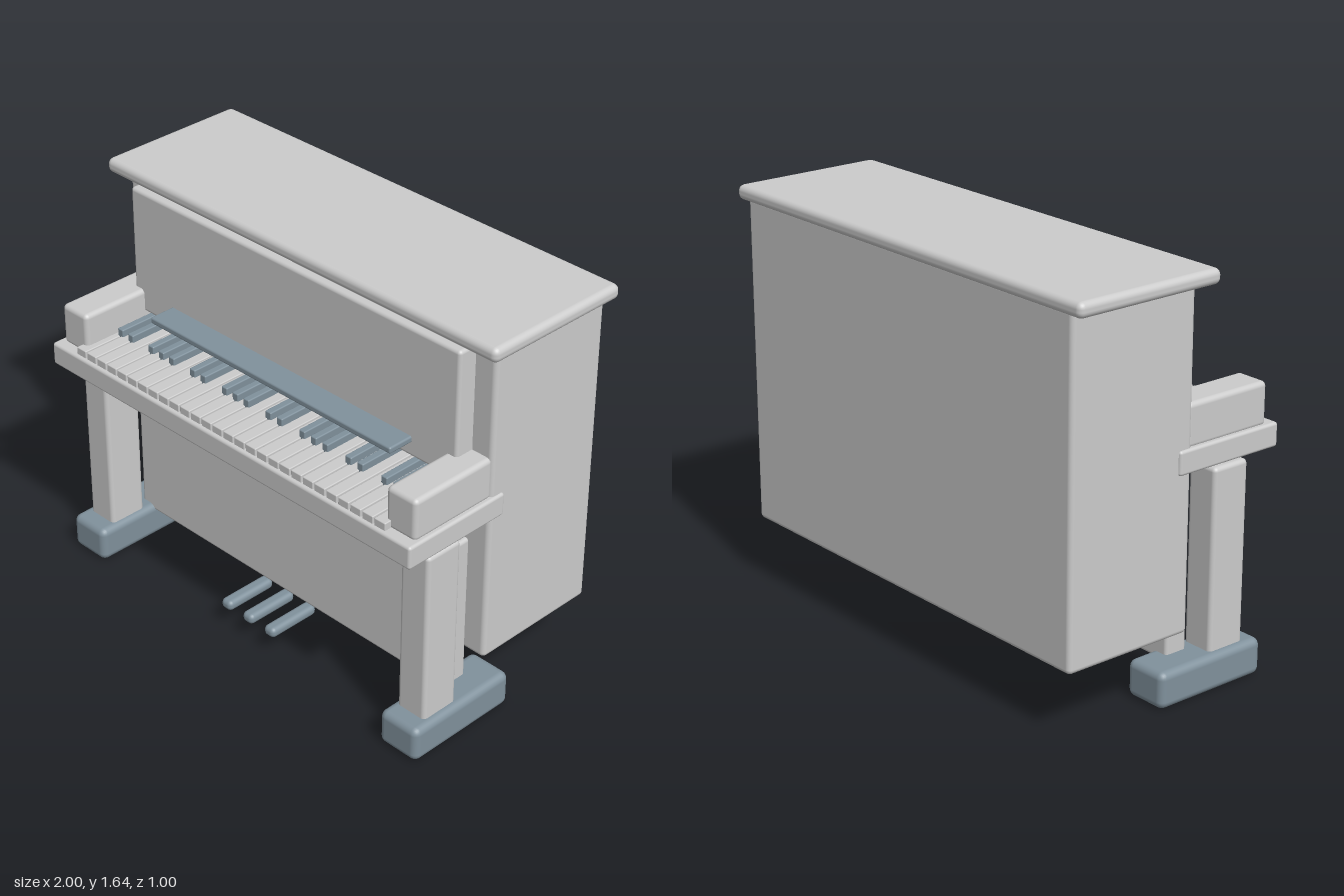
import * as THREE from 'three';
import { RoundedBoxGeometry } from 'three/addons/geometries/RoundedBoxGeometry.js';

const grey = new THREE.MeshStandardMaterial({ color: 0xcccccc });
const slate = new THREE.MeshStandardMaterial({ color: 0x80919c });

// Rounded block given by its [min, max] extent on each axis
function block(name, [x0, x1], [y0, y1], [z0, z1], radius, material = grey) {
  const geometry = new RoundedBoxGeometry(x1 - x0, y1 - y0, z1 - z0, 3, radius);
  const mesh = new THREE.Mesh(geometry, material);
  mesh.position.set((x0 + x1) / 2, (y0 + y1) / 2, (z0 + z1) / 2);
  mesh.name = name;
  return mesh;
}

// 28 white keys, with black keys in groups of two and three
function createKeyboard() {
  const keyboard = new THREE.Group();
  keyboard.name = 'keyboard';
  const count = 28, pitch = 0.059, start = -count * pitch / 2;
  for (let i = 0; i < count; i++) {
    const x = start + i * pitch;
    keyboard.add(block('whiteKey', [x + 0.0035, x + pitch - 0.0035], [0.975, 1.015], [0.07, 0.485], 0.004));
    if (i > 0 && i % 7 !== 0 && i % 7 !== 3) {
      keyboard.add(block('blackKey', [x - 0.015, x + 0.015], [1.0, 1.045], [0.1, 0.313], 0.005, slate));
    }
  }
  return keyboard;
}

export function createModel() {
  const piano = new THREE.Group();
  piano.name = 'uprightPiano';

  // Body
  piano.add(
    block('case', [-0.945, 0.945], [0.27, 1.6], [-0.485, 0.08], 0.02),
    block('lid', [-1, 1], [1.58, 1.64], [-0.5, 0.15], 0.025),
    block('upperPanel', [-0.85, 0.85], [1.05, 1.575], [0.06, 0.16], 0.015),
    block('lowerPanel', [-0.85, 0.85], [0.12, 0.765], [0.07, 0.17], 0.015),
    block('keyBed', [-0.955, 0.955], [0.89, 0.985], [0.015, 0.5], 0.012),
    block('musicShelf', [-0.635, 0.635], [1.11, 1.137], [0.12, 0.27], 0.008, slate),
    createKeyboard()
  );

  // Arms, legs and feet on both sides
  for (const side of [-1, 1]) {
    const span = (a, b) => (side > 0 ? [a, b] : [-b, -a]);
    piano.add(
      block('arm', span(0.795, 0.937), [0.975, 1.147], [0.065, 0.455], 0.02),
      block('leg', span(0.797, 0.932), [0.12, 0.867], [0.21, 0.377], 0.018),
      block('foot', span(0.775, 0.962), [0, 0.147], [-0.055, 0.45], 0.03, slate)
    );
  }

  // Pedals
  for (const x of [-0.12, 0, 0.12]) {
    piano.add(block('pedal', [x - 0.028, x + 0.028], [0.08, 0.125], [0.15, 0.385], 0.02, slate));
  }
  return piano;
}
